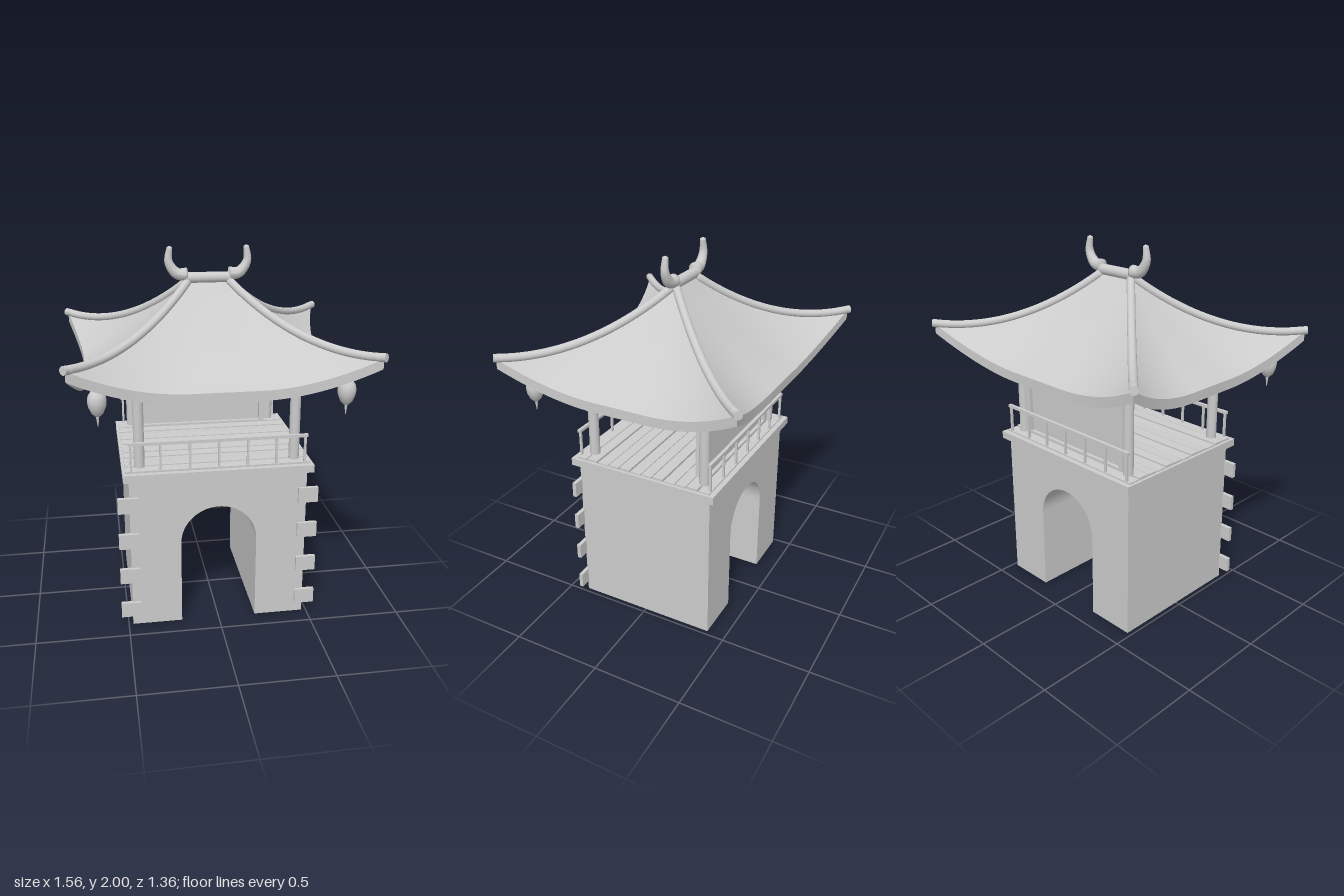
import * as THREE from 'three';
import { mergeGeometries } from 'three/addons/utils/BufferGeometryUtils.js';

const grey = new THREE.MeshStandardMaterial({ color: 0xcccccc });
const thin = new THREE.MeshStandardMaterial({ color: 0xcccccc, side: THREE.DoubleSide });

// Surface grid from a rule f(u, v) -> [x, y, z], u and v in 0..1
function grid(f, nu, nv) {
  const pos = [], idx = [];
  for (let j = 0; j <= nv; j++) for (let i = 0; i <= nu; i++) pos.push(...f(i / nu, j / nv));
  for (let j = 0; j < nv; j++) for (let i = 0; i < nu; i++) {
    const a = j * (nu + 1) + i, c = a + nu + 1;
    idx.push(a, c, a + 1, a + 1, c, c + 1);
  }
  const g = new THREE.BufferGeometry();
  g.setAttribute('position', new THREE.Float32BufferAttribute(pos, 3));
  g.setIndex(idx);
  g.computeVertexNormals();
  return g;
}

// Tube whose radius follows a rule along its length
function taperedTube(curve, segs, sides, radius) {
  const g = new THREE.TubeGeometry(curve, segs, 1, sides);
  const p = g.attributes.position, v = new THREE.Vector3();
  for (let i = 0; i < p.count; i++) {
    const t = Math.floor(i / (sides + 1)) / segs, c = curve.getPointAt(t);
    v.fromBufferAttribute(p, i).sub(c).multiplyScalar(radius(t)).add(c);
    p.setXYZ(i, v.x, v.y, v.z);
  }
  g.computeVertexNormals();
  return g;
}

// Hollow gate block with an arched passage, open underneath
function gateGeometry() {
  const wall = new THREE.Shape();
  wall.moveTo(-0.475, 0);
  wall.lineTo(-0.205, 0);
  wall.lineTo(-0.205, 0.477);
  wall.absarc(0, 0.477, 0.205, Math.PI, 0, true);
  wall.lineTo(0.205, 0);
  wall.lineTo(0.475, 0);
  wall.lineTo(0.475, 0.87);
  wall.lineTo(-0.475, 0.87);
  const g = new THREE.ExtrudeGeometry(wall, { depth: 0.79, bevelEnabled: false, curveSegments: 24 });
  const p = g.attributes.position, keep = [];
  for (let i = 0; i < p.count; i += 3)
    if (Math.max(p.getY(i), p.getY(i + 1), p.getY(i + 2)) > 0.001) keep.push(i, i + 1, i + 2);
  g.setIndex(keep);
  g.clearGroups();
  return g;
}

const hipHeight = t => 1.82 - 0.68 * t + 0.39 * t * t;

// One roof slope: top skin, underside and eave band; the eave is straight in the middle
function roofSlope(ridgeHalf, ridgeOut) {
  const point = (u, t, drop) => {
    const s = 2 * u - 1, mid = 1 - Math.max(0, (Math.abs(s) - 0.22) / 0.78) ** 2;
    return [s * (ridgeHalf + 0.655 * t), hipHeight(t) - 0.16 * t * t * mid - drop,
      ridgeOut + t * (0.655 - 0.083 * t * mid)];
  };
  return mergeGeometries([
    grid((u, t) => point(u, t, 0), 36, 16),
    grid((u, t) => point(1 - u, t, 0.052), 36, 16),
    grid((u, v) => point(u, 1, 0.052 * v), 36, 1),
  ]);
}

export function createModel() {
  const model = new THREE.Group();
  const add = (name, geo, x = 0, y = 0, z = 0, mat = grey) => {
    const m = new THREE.Mesh(geo, mat);
    m.name = name;
    m.position.set(x, y, z);
    model.add(m);
    return m;
  };
  const box = (name, w, h, d, x, y, z) => add(name, new THREE.BoxGeometry(w, h, d), x, y, z);
  const both = [-1, 1];

  add('gateBase', gateGeometry(), 0, 0, -0.395, thin);

  // Corner stones on the front
  for (const s of both) for (let i = 0; i < 4; i++)
    box('cornerStone', 0.108, 0.085, 0.022, s * 0.483, 0.1 + i * 0.207, 0.4);

  // Platform and floor planks, laid slightly unevenly
  box('platform', 1.01, 0.042, 0.855, 0, 0.88, 0);
  for (let i = 0; i < 12; i++) {
    const plank = box('floorPlank', 0.98, 0.014, 0.06, 0, 0.902 + 0.003 * ((i * 5) % 3), -0.3685 + i * 0.067);
    plank.rotation.x = 0.03 * ((i * 7) % 3 - 1);
  }

  // Railings, pillars and tie beams at front and back
  for (const z of both) {
    box('handRail', 0.945, 0.016, 0.018, 0, 1.058, z * 0.39);
    for (let i = -3; i <= 3; i++) box('railingPost', 0.012, 0.155, 0.012, i * 0.153, 0.975, z * 0.39);
    for (const x of both)
      add('pillar', new THREE.CylinderGeometry(0.028, 0.028, 0.5, 20), x * 0.413, 1.145, z * 0.333);
    const beam = add('tieBeam', new THREE.CylinderGeometry(0.02, 0.02, 0.95, 16), 0, 1.352, z * 0.333);
    beam.rotation.z = Math.PI / 2;
  }

  // Framed screen at the back
  box('screenPanel', 0.71, 0.38, 0.03, 0, 1.09, -0.305);
  box('screenTopFrame', 0.76, 0.026, 0.075, 0, 1.289, -0.303);
  box('screenBottomFrame', 0.7, 0.02, 0.075, 0, 0.915, -0.303);
  for (const s of both) box('screenSideFrame', 0.03, 0.38, 0.075, s * 0.365, 1.09, -0.303);

  // Four curved roof slopes
  const long = roofSlope(0.1, 0), short = roofSlope(0, 0.1);
  for (let k = 0; k < 4; k++)
    add('roofSlope', k % 2 ? short : long, 0, 0, 0, thin).rotation.y = k * Math.PI / 2;

  // Hip ridges running to the upturned corners
  for (const sx of both) for (const sz of both) {
    const pts = [];
    for (let i = 0; i <= 10; i++) {
      const t = i / 10 * 1.008;
      pts.push(new THREE.Vector3(sx * (0.1 + 0.655 * t), hipHeight(t) + 0.005, sz * 0.655 * t));
    }
    const curve = new THREE.CatmullRomCurve3(pts);
    add('hipRidge', taperedTube(curve, 48, 14, t => (t === 0 || t === 1 ? 0 : 0.022)));
    const end = add('hipRidgeEnd', new THREE.CylinderGeometry(0.022, 0.022, 0.03, 14));
    end.position.copy(curve.getPointAt(0.99));
    end.quaternion.setFromUnitVectors(new THREE.Vector3(0, 1, 0), curve.getTangentAt(1));
  }

  // Main ridge with a curved horn at each end
  add('mainRidge', new THREE.CylinderGeometry(0.029, 0.029, 0.24, 20), 0, 1.832, 0).rotation.z = Math.PI / 2;
  for (const s of both) {
    const curve = new THREE.CatmullRomCurve3([[0.105, 1.85], [0.165, 1.856], [0.208, 1.915], [0.202, 2]]
      .map(([x, y]) => new THREE.Vector3(s * x, y, 0)));
    add('ridgeHorn', taperedTube(curve, 28, 16, t => (t === 0 || t === 1 ? 0 : 0.036 - 0.022 * t)));
  }

  // Hanging lanterns under the front corners
  const lantern = [[0, -0.068], [0.014, -0.066], [0.03, -0.05], [0.043, -0.02], [0.047, 0.008],
    [0.043, 0.035], [0.03, 0.055], [0.016, 0.066], [0, 0.068]].map(p => new THREE.Vector2(...p));
  for (const s of both) {
    add('lantern', new THREE.LatheGeometry(lantern, 20), s * 0.617, 1.338, 0.54);
    add('lanternCord', new THREE.CylinderGeometry(0.006, 0.006, 0.08, 8), s * 0.617, 1.43, 0.54);
    add('lanternTassel', new THREE.CylinderGeometry(0.009, 0.002, 0.055, 8), s * 0.617, 1.247, 0.54);
  }
  return model;
}
